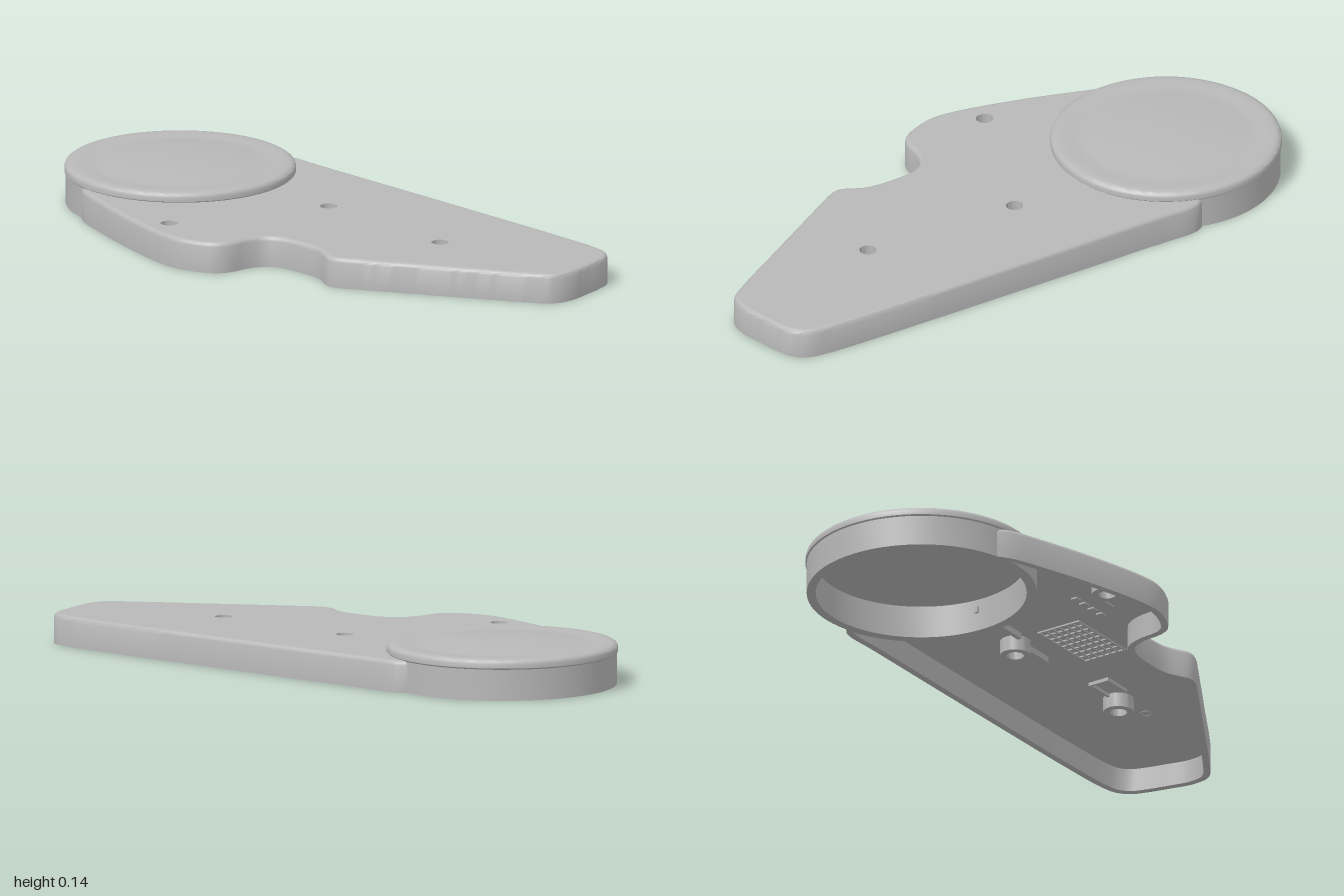
import * as THREE from 'three';
import { toCreasedNormals } from 'three/addons/utils/BufferGeometryUtils.js';

const DISC = { x: -0.64, z: -0.083, r: 0.36 };
const HOLES = [[-0.04, -0.145], [0.485, -0.12], [-0.245, 0.345]];
const HOLE_R = 0.027;
const tilt = (x) => 1 - 0.04 * (x + 0.6); // the plate gets a little thinner toward the tip

// Outline of the plate in x and z, from the back of the disc round to its front
const EDGE = [
  [-0.56, -0.42], [-0.53, -0.443], [-0.49, -0.45], [-0.4, -0.448], [0, -0.449], [0.4, -0.449], [0.65, -0.448],
  [0.85, -0.441], [0.91, -0.428], [0.947, -0.395], [0.966, -0.345], [0.985, -0.265], [0.998, -0.2],
  [0.993, -0.145], [0.975, -0.115], [0.93, -0.082], [0.7, 0.056], [0.45, 0.205], [0.395, 0.236],
  [0.36, 0.243], [0.325, 0.227], [0.28, 0.206], [0.2, 0.2], [0.12, 0.207], [0.07, 0.232], [0.046, 0.285],
  [0.037, 0.355], [0.015, 0.395], [-0.05, 0.43], [-0.12, 0.446], [-0.21, 0.437], [-0.4, 0.39],
  [-0.58, 0.332], [-0.68, 0.294], [-0.74, 0.25],
];

function outline() {
  const curve = new THREE.CatmullRomCurve3(EDGE.map(([x, z]) => new THREE.Vector3(x, 0, z)));
  const pts = curve.getSpacedPoints(180).map((p) => new THREE.Vector2(p.x, p.z));
  // close along an arc hidden inside the disc wall
  const a0 = Math.atan2(0.25 - DISC.z, -0.74 - DISC.x);
  const a1 = Math.atan2(-0.42 - DISC.z, -0.56 - DISC.x);
  for (let i = 1; i < 40; i++) {
    const a = a0 + (a1 - a0) * i / 40;
    pts.push(new THREE.Vector2(DISC.x + 0.338 * Math.cos(a), DISC.z + 0.338 * Math.sin(a)));
  }
  return pts;
}

// Move a loop inward by d
function inset(pts, d) {
  const n = pts.length;
  return pts.map((p, i) => {
    const u = p.clone().sub(pts[(i + n - 1) % n]).normalize();
    const v = pts[(i + 1) % n].clone().sub(p).normalize();
    const m = new THREE.Vector2(-u.y - v.y, u.x + v.x).normalize();
    const k = Math.max(0.6, -m.x * v.y + m.y * v.x);
    return p.clone().addScaledVector(m, d / k);
  });
}

// Sweep a closed [inset, height] profile round the outline
function wallGeometry(pts, profile) {
  const loops = profile.map(([d, y]) => inset(pts, d).map((p) => [p.x, y * tilt(p.x), p.y]));
  const pos = [];
  const n = pts.length;
  for (let j = 0; j < loops.length - 1; j++) {
    for (let i = 0; i < n; i++) {
      const k = (i + 1) % n;
      const a = loops[j][i], b = loops[j][k], c = loops[j + 1][i], e = loops[j + 1][k];
      pos.push(...a, ...c, ...b, ...b, ...c, ...e);
    }
  }
  const g = new THREE.BufferGeometry();
  g.setAttribute('position', new THREE.Float32BufferAttribute(pos, 3));
  return toCreasedNormals(g, 0.6);
}

// Flat sheet with the screw holes, facing up or down
function sheetGeometry(pts, y, up) {
  const s = up ? -1 : 1;
  const shape = new THREE.Shape(pts.map((p) => new THREE.Vector2(p.x, s * p.y)));
  for (const [x, z] of HOLES) {
    const hole = new THREE.Path();
    hole.absarc(x, s * z, HOLE_R, 0, Math.PI * 2, true);
    shape.holes.push(hole);
  }
  const g = new THREE.ShapeGeometry(shape, 16).rotateX(s * Math.PI / 2);
  const p = g.attributes.position;
  for (let i = 0; i < p.count; i++) p.setY(i, y * tilt(p.getX(i)));
  g.computeVertexNormals();
  return g;
}

const lathe = (profile, sides) =>
  toCreasedNormals(new THREE.LatheGeometry(profile.map(([r, y]) => new THREE.Vector2(r, y)), sides), 0.6);

export function createModel() {
  const model = new THREE.Group();
  const grey = new THREE.MeshStandardMaterial({ color: 0xb8b8b8 });
  grey.name = 'plain grey';
  const add = (name, geometry, x = 0, y = 0, z = 0) => {
    const mesh = new THREE.Mesh(geometry, grey);
    mesh.name = name;
    mesh.position.set(x, y, z);
    model.add(mesh);
    return mesh;
  };
  const box = (name, w, h, d, x, z) => add(name, new THREE.BoxGeometry(w, h, d), x, 0.081 * tilt(x) - h / 2, z);

  // Hollow cover: outer wall, top and underside
  const pts = outline();
  add('coverWall', wallGeometry(pts, [
    [0.022, 0.08], [0.022, 0], [0, 0], [0, 0.086], [0.003, 0.094], [0.007, 0.098], [0.014, 0.1],
  ]));
  add('coverTop', sheetGeometry(inset(pts, 0.014), 0.1, true));
  add('coverUnderside', sheetGeometry(inset(pts, 0.022), 0.08, false));

  // Round cap with a rolled rim, a shallow groove and a low dome, open below
  add('discCap', lathe([
    [0, 0.105], [0.328, 0.105], [0.328, 0], [0.356, 0], [0.356, 0.098], [0.36, 0.102], [0.36, 0.115],
    [0.357, 0.123], [0.35, 0.128], [0.338, 0.13], [0.315, 0.13], [0.295, 0.128], [0.275, 0.127],
    [0.255, 0.128], [0.23, 0.131], [0.17, 0.136], [0.09, 0.1405], [0, 0.142],
  ].map(([r, y]) => [r, y]), 96), DISC.x, 0, DISC.z);

  // Screw bosses under the holes
  for (const [x, z] of HOLES) {
    const top = 0.1 * tilt(x);
    add('screwBoss', lathe([
      [HOLE_R, top], [HOLE_R, 0.03], [0.048, 0.03], [0.048, 0.085 * tilt(x)],
    ], 32), x, 0, z);
  }

  // Ribs on the underside
  box('longRib', 0.24, 0.02, 0.014, -0.2, -0.1);
  box('shortRib', 0.1, 0.02, 0.014, 0.06, -0.13);
  for (const z of [-0.125, -0.06]) box('frameRib', 0.1, 0.012, 0.008, 0.39, z);
  box('frameRib', 0.008, 0.012, 0.073, 0.34, -0.0925);

  // Fine raised grid and small marks on the underside
  for (let i = 0; i < 7; i++) box('gridBar', 0.25, 0.006, 0.006, 0.07, -0.045 + i * 0.025);
  for (let i = 0; i < 9; i++) box('gridBar', 0.006, 0.006, 0.156, -0.055 + i * 0.03125, 0.03);
  for (let i = 0; i < 4; i++) box('smallMark', 0.025, 0.006, 0.022, -0.19 + i * 0.045, 0.19);
  box('smallMark', 0.08, 0.006, 0.015, -0.12, 0.25);
  box('smallMark', 0.03, 0.006, 0.03, -0.1, 0.345);
  add('smallRing', new THREE.TorusGeometry(0.016, 0.004, 6, 20).rotateX(Math.PI / 2), 0.62, 0.077, -0.11);

  return model;
}
